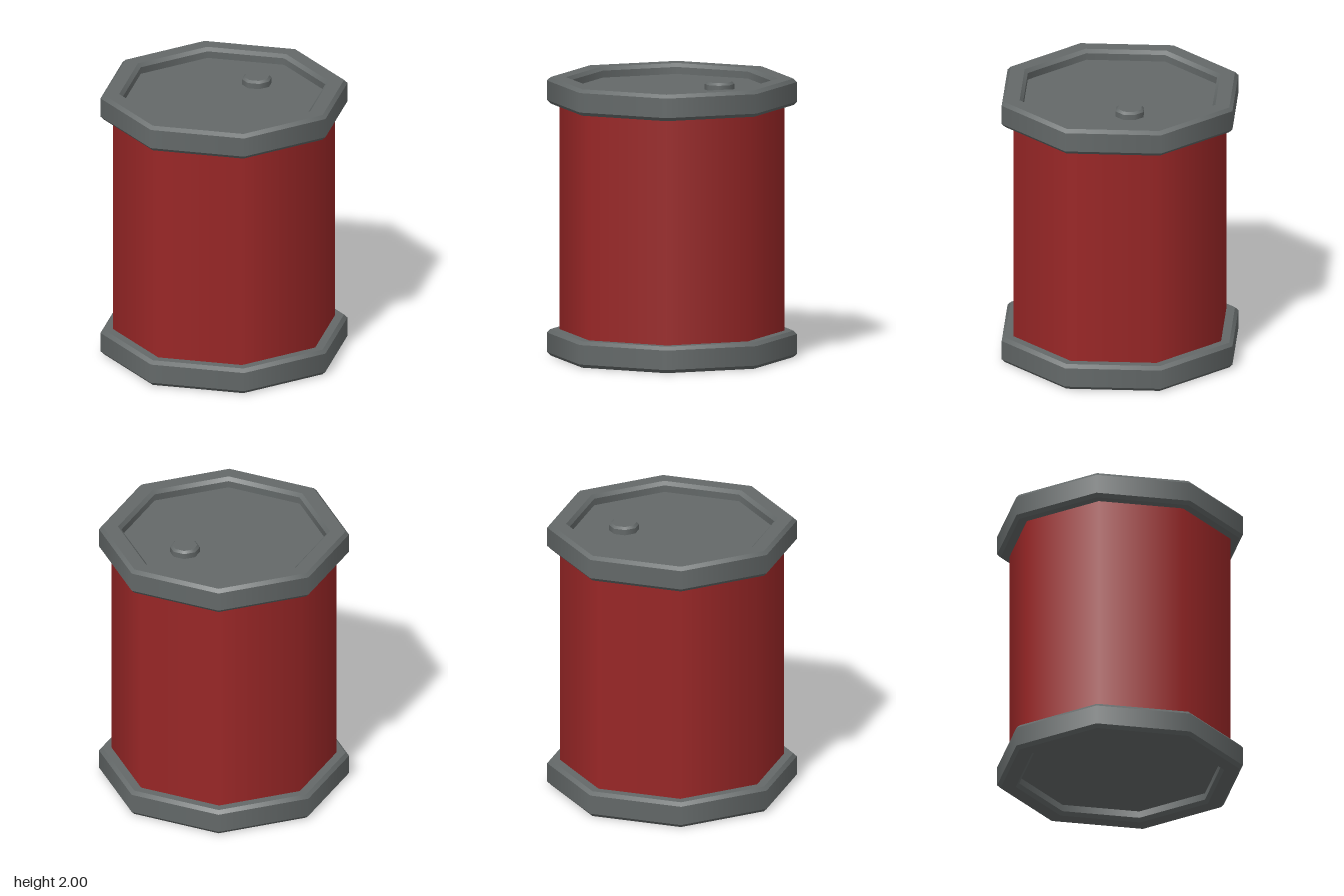
import * as THREE from 'three';
import { mergeGeometries } from 'three/addons/utils/BufferGeometryUtils.js';

const SIDES = 8;

// Octagonal lathe: smooth around the axis, sharp between profile bands
function creasedLathe(profile) {
  const bands = [];
  for (let i = 0; i < profile.length - 1; i++) {
    const pair = [profile[i], profile[i + 1]].map(([r, y]) => new THREE.Vector2(r, y));
    bands.push(new THREE.LatheGeometry(pair, SIDES));
  }
  return mergeGeometries(bands);
}

export function createModel() {
  const model = new THREE.Group();
  model.name = 'barrel';

  const red = new THREE.MeshStandardMaterial({ color: 0x9a2727 });
  red.name = 'red paint';
  const grey = new THREE.MeshStandardMaterial({ color: 0x646969 });
  grey.name = 'grey metal';

  const add = (name, profile, material) => {
    const mesh = new THREE.Mesh(creasedLathe(profile), material);
    mesh.name = name;
    model.add(mesh);
    return mesh;
  };

  // Drum wall
  add('body', [[0.8, 0.15], [0.8, 1.85]], red);

  // Bevelled rim with a recessed lid, as [radius, height]
  const rim = [
    [0.78, 1.81], [0.865, 1.81], [0.89, 1.835], [0.89, 1.975], [0.865, 2],
    [0.755, 2], [0.73, 1.975], [0.73, 1.925], [0, 1.925],
  ];
  add('topRim', rim, grey);
  add('bottomRim', rim.map(([r, y]) => [r, 2 - y]).reverse(), grey);

  // Bevelled filler cap on the lid
  const cap = add('fillerCap', [[0.107, 0], [0.107, 0.04], [0.09, 0.057], [0, 0.057]], grey);
  cap.position.set(0.27, 1.925, -0.21);

  return model;
}
